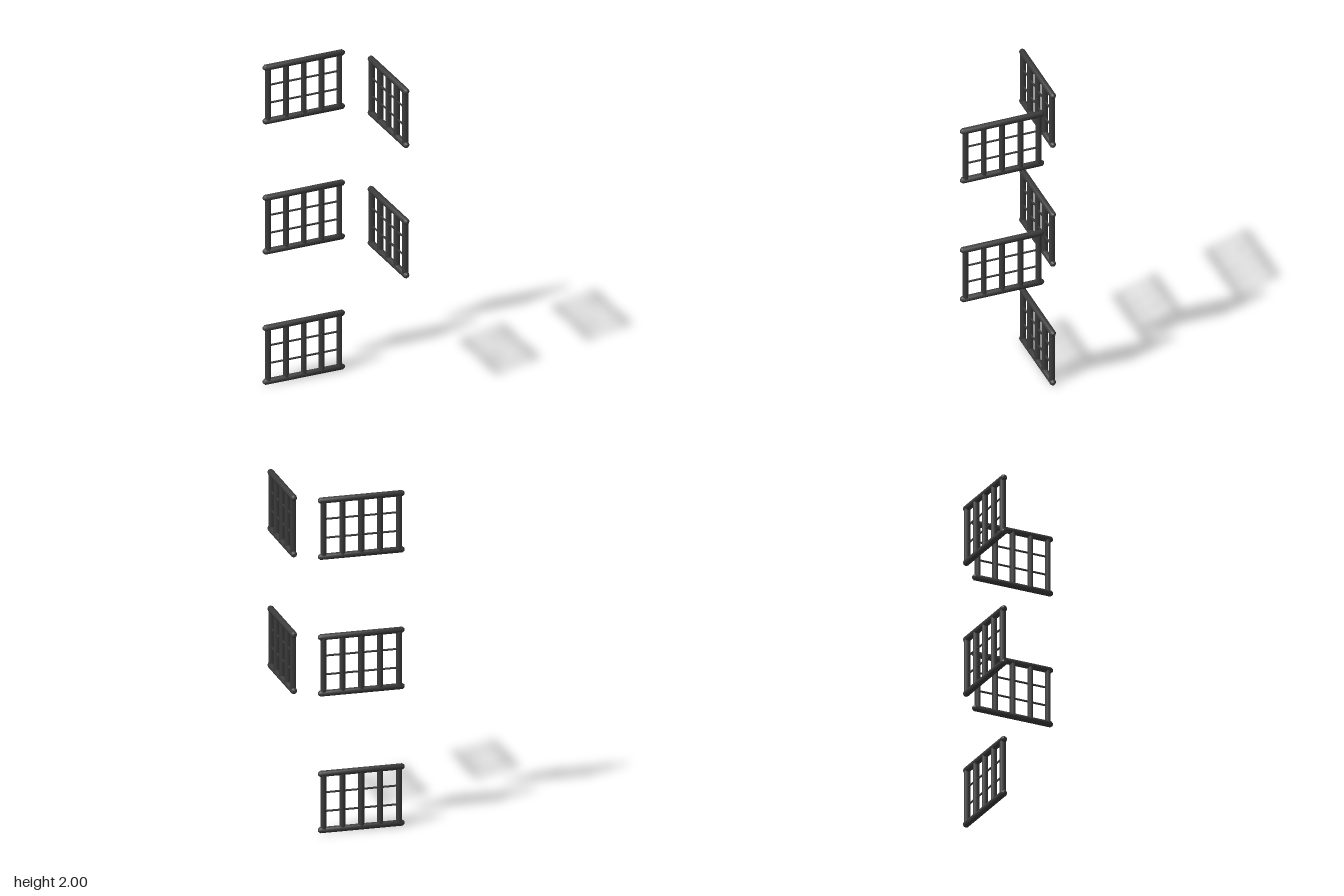
import * as THREE from 'three';
import { toCreasedNormals } from 'three/addons/utils/BufferGeometryUtils.js';

const RAIL_R = 0.0187, RAIL_HALF = 0.2525, RISE = 0.335, SPACING = 0.111;

export function createModel() {
  const iron = new THREE.MeshStandardMaterial({ color: 0x3c3c3c });
  iron.name = 'darkIron';

  // Rail: round bar with chamfered ends, lying along x
  const profile = [
    [0, -RAIL_HALF], [0.009, -RAIL_HALF], [RAIL_R, -RAIL_HALF + 0.013],
    [RAIL_R, RAIL_HALF - 0.013], [0.009, RAIL_HALF], [0, RAIL_HALF],
  ].map(([r, y]) => new THREE.Vector2(r, y));
  const railGeo = toCreasedNormals(new THREE.LatheGeometry(profile, 8), 0.82).rotateZ(Math.PI / 2);

  // Upright: six-sided bar with its corners in the plane of the grille
  const barGeo = new THREE.CylinderGeometry(0.0178, 0.0178, RISE, 6, 1, true).rotateY(Math.PI / 2);

  // Thin crossbar along x
  const crossGeo = new THREE.CylinderGeometry(0.0058, 0.0058, SPACING * 4, 6, 1, true).rotateZ(Math.PI / 2);

  function add(group, geometry, name, x, y) {
    const mesh = new THREE.Mesh(geometry, iron);
    mesh.name = name;
    mesh.position.set(x, y, 0);
    group.add(mesh);
  }

  function createGrille(name) {
    const grille = new THREE.Group();
    grille.name = name;
    add(grille, railGeo, 'bottomRail', 0, 0);
    add(grille, railGeo, 'topRail', 0, RISE);
    for (let i = -2; i <= 2; i++) add(grille, barGeo, 'upright', i * SPACING, RISE / 2);
    for (const f of [1 / 3, 2 / 3]) add(grille, crossGeo, 'crossbar', 0, RISE * f);
    return grille;
  }

  const model = new THREE.Group();
  model.name = 'windowGrilles';

  // Three storeys: a back grille on each, a side grille on the upper two
  for (let floor = 0; floor < 3; floor++) {
    const y = RAIL_R + floor * 0.8138;
    const back = createGrille('backGrille');
    back.position.set(-0.0635, y, -0.296);
    model.add(back);
    if (floor > 0) {
      const side = createGrille('sideGrille');
      side.rotation.y = Math.PI / 2;
      side.position.set(0.297, y - 0.0125, 0.0615);
      model.add(side);
    }
  }
  return model;
}
